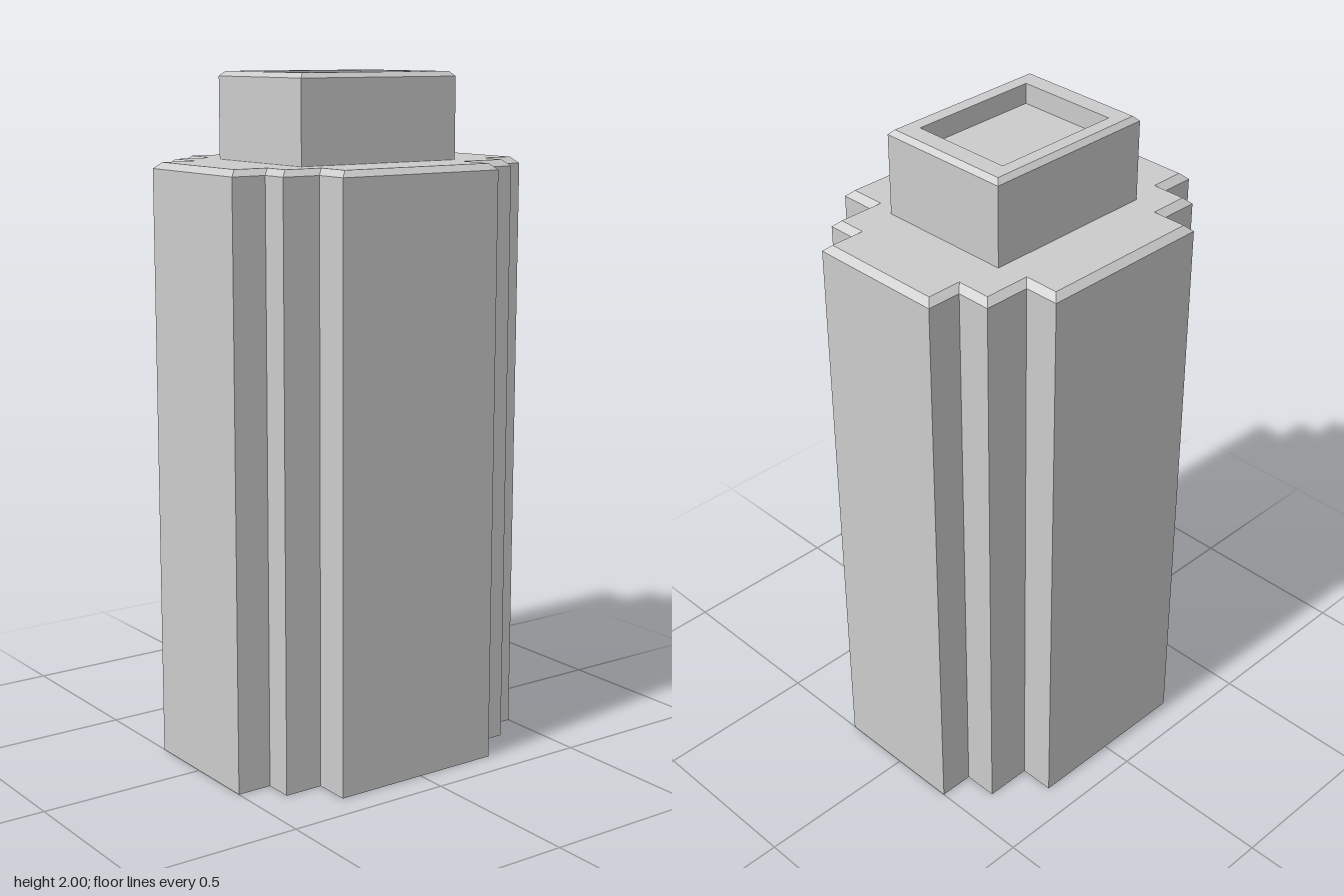
import * as THREE from 'three';
import { mergeGeometries } from 'three/addons/utils/BufferGeometryUtils.js';

// Each outline is a list of [x, z] running anticlockwise seen from above; d is the inset.
function rectangle(x0, x1, z0, z1) {
  return [[x0, z1], [x1, z1], [x1, z0], [x0, z0]];
}

function steppedOutline(d) {
  const x = [-0.5 + d, -0.395 + d, -0.278 + d, 0.255 - d, 0.395 - d, 0.5 - d];
  const z = [-0.408 + d, -0.303 + d, -0.2 + d, 0.215 - d, 0.3 - d, 0.408 - d];
  return [
    [x[2], z[5]], [x[3], z[5]], [x[3], z[4]], [x[4], z[4]], [x[4], z[3]], [x[5], z[3]],
    [x[5], z[2]], [x[4], z[2]], [x[4], z[1]], [x[3], z[1]], [x[3], z[0]], [x[2], z[0]],
    [x[2], z[1]], [x[1], z[1]], [x[1], z[2]], [x[0], z[2]],
    [x[0], z[3]], [x[1], z[3]], [x[1], z[4]], [x[2], z[4]],
  ];
}

const neckOutline = (d) => rectangle(-0.278 + d, 0.255 - d, -0.2 + d, 0.215 - d);
const recessOutline = rectangle(-0.21, 0.187, -0.148, 0.162);

// Flat wall quads between two matching outlines
function wall(lower, y0, upper, y1) {
  const positions = [];
  lower.forEach((a, i) => {
    const j = (i + 1) % lower.length;
    const b = lower[j], c = upper[j], d = upper[i];
    positions.push(
      a[0], y0, a[1], b[0], y0, b[1], c[0], y1, c[1],
      a[0], y0, a[1], c[0], y1, c[1], d[0], y1, d[1]
    );
  });
  const geometry = new THREE.BufferGeometry();
  geometry.setAttribute('position', new THREE.Float32BufferAttribute(positions, 3));
  geometry.computeVertexNormals();
  return geometry;
}

// Horizontal face looking up, with an optional hole
function cap(outline, y, hole) {
  const toPoints = (list) => list.map(([x, z]) => new THREE.Vector2(x, -z));
  const shape = new THREE.Shape(toPoints(outline));
  if (hole) shape.holes.push(new THREE.Path(toPoints(hole)));
  const geometry = new THREE.ShapeGeometry(shape).toNonIndexed();
  geometry.deleteAttribute('uv');
  return geometry.rotateX(-Math.PI / 2).translate(0, y, 0);
}

export function createModel() {
  const group = new THREE.Group();
  const material = new THREE.MeshStandardMaterial({
    color: 0xcccccc, flatShading: true, side: THREE.DoubleSide,
  });
  const add = (name, parts) => {
    const mesh = new THREE.Mesh(mergeGeometries(parts), material);
    mesh.name = name;
    group.add(mesh);
  };

  // Stepped shaft, open underneath, with a chamfered top edge
  add('shaft', [
    wall(steppedOutline(0), 0, steppedOutline(0), 1.732),
    wall(steppedOutline(0), 1.732, steppedOutline(0.02), 1.75),
    cap(steppedOutline(0.02), 1.75, neckOutline(0)),
  ]);

  // Rectangular neck with a chamfered rim
  add('neck', [
    wall(neckOutline(0), 1.75, neckOutline(0), 1.986),
    wall(neckOutline(0), 1.986, neckOutline(0.014), 2),
    cap(neckOutline(0.014), 2, recessOutline),
  ]);

  // Shallow recess in the neck's top
  add('recess', [
    wall(recessOutline, 2, recessOutline, 1.94),
    cap(recessOutline, 1.94),
  ]);

  return group;
}
